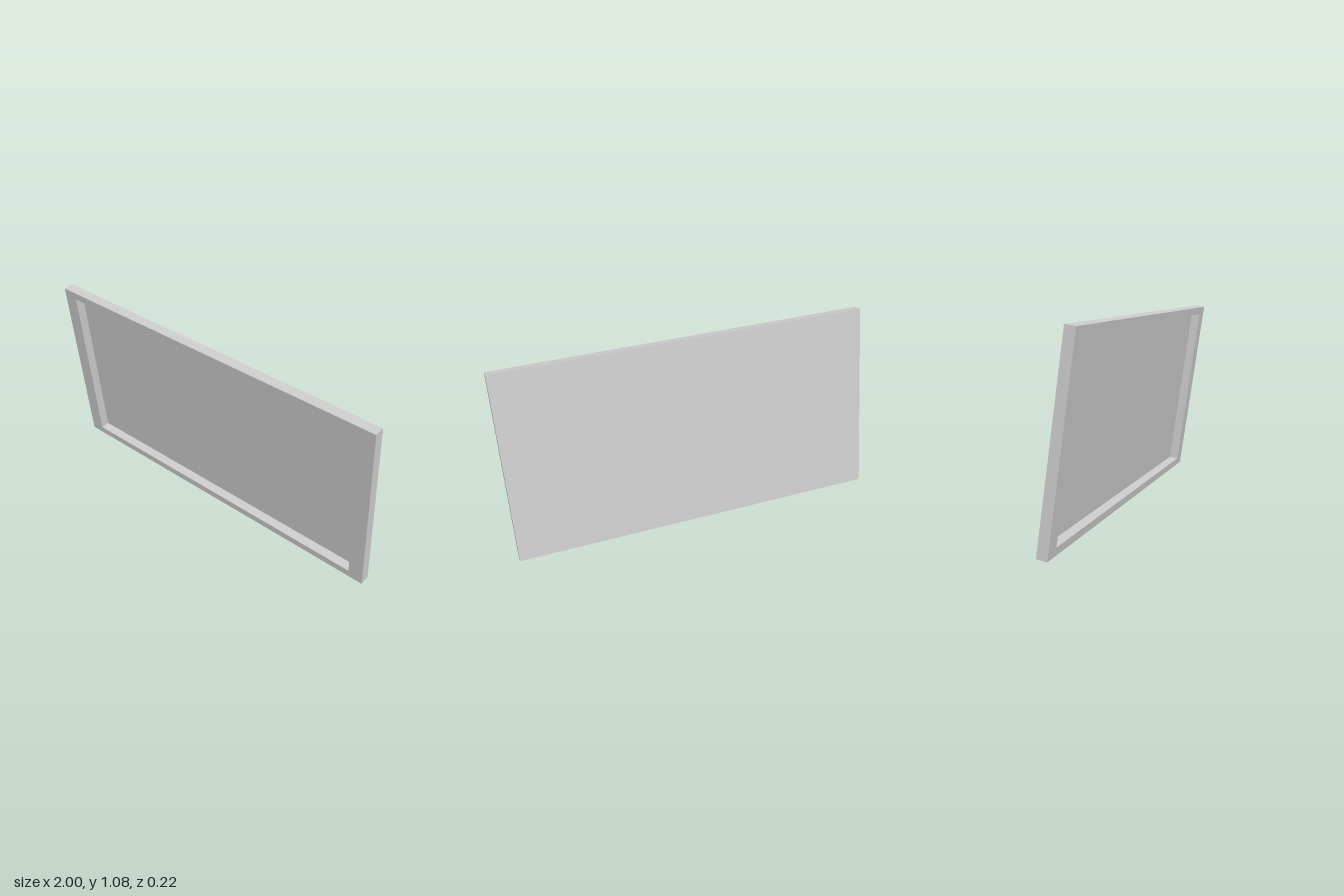
import * as THREE from 'three';

const WIDTH = 1.971, HEIGHT = 1.015, DEPTH = 0.0535;
const SIDE_BORDER = 0.081, END_BORDER = 0.041, PANEL = 0.004;

// Adds a centred rectangle to a shape or path
function rectangle(path, w, h) {
  return path.moveTo(-w / 2, -h / 2).lineTo(w / 2, -h / 2)
    .lineTo(w / 2, h / 2).lineTo(-w / 2, h / 2).closePath();
}

export function createModel() {
  const material = new THREE.MeshStandardMaterial({ color: 0xcccccc, flatShading: true });
  const openW = WIDTH - 2 * SIDE_BORDER, openH = HEIGHT - 2 * END_BORDER;

  // Rectangular surround, wider at the sides than at top and bottom
  const outline = rectangle(new THREE.Shape(), WIDTH, HEIGHT);
  outline.holes.push(rectangle(new THREE.Path(), openW, openH));
  const frameGeometry = new THREE.ExtrudeGeometry(outline, { depth: DEPTH, bevelEnabled: false });
  frameGeometry.translate(0, 0, -DEPTH / 2);
  const frame = new THREE.Mesh(frameGeometry, material);
  frame.name = 'frame';

  // Thin panel closing the opening, flush with the back
  const panel = new THREE.Mesh(new THREE.BoxGeometry(openW, openH, PANEL), material);
  panel.name = 'backPanel';
  panel.position.z = -DEPTH / 2 + PANEL / 2;

  // The whole frame hangs crooked, leaning forward
  const hanging = new THREE.Group();
  hanging.name = 'tiltedFrame';
  hanging.add(frame, panel);
  const across = new THREE.Vector3(1.97, -0.063, 0.029).normalize();
  const facing = new THREE.Vector3().crossVectors(across, new THREE.Vector3(0.03, 1.005, 0.137)).normalize();
  const up = new THREE.Vector3().crossVectors(facing, across);
  hanging.quaternion.setFromRotationMatrix(new THREE.Matrix4().makeBasis(across, up, facing));
  hanging.position.y = 0.5375;

  const model = new THREE.Group();
  model.name = 'pictureFrame';
  model.add(hanging);
  return model;
}
